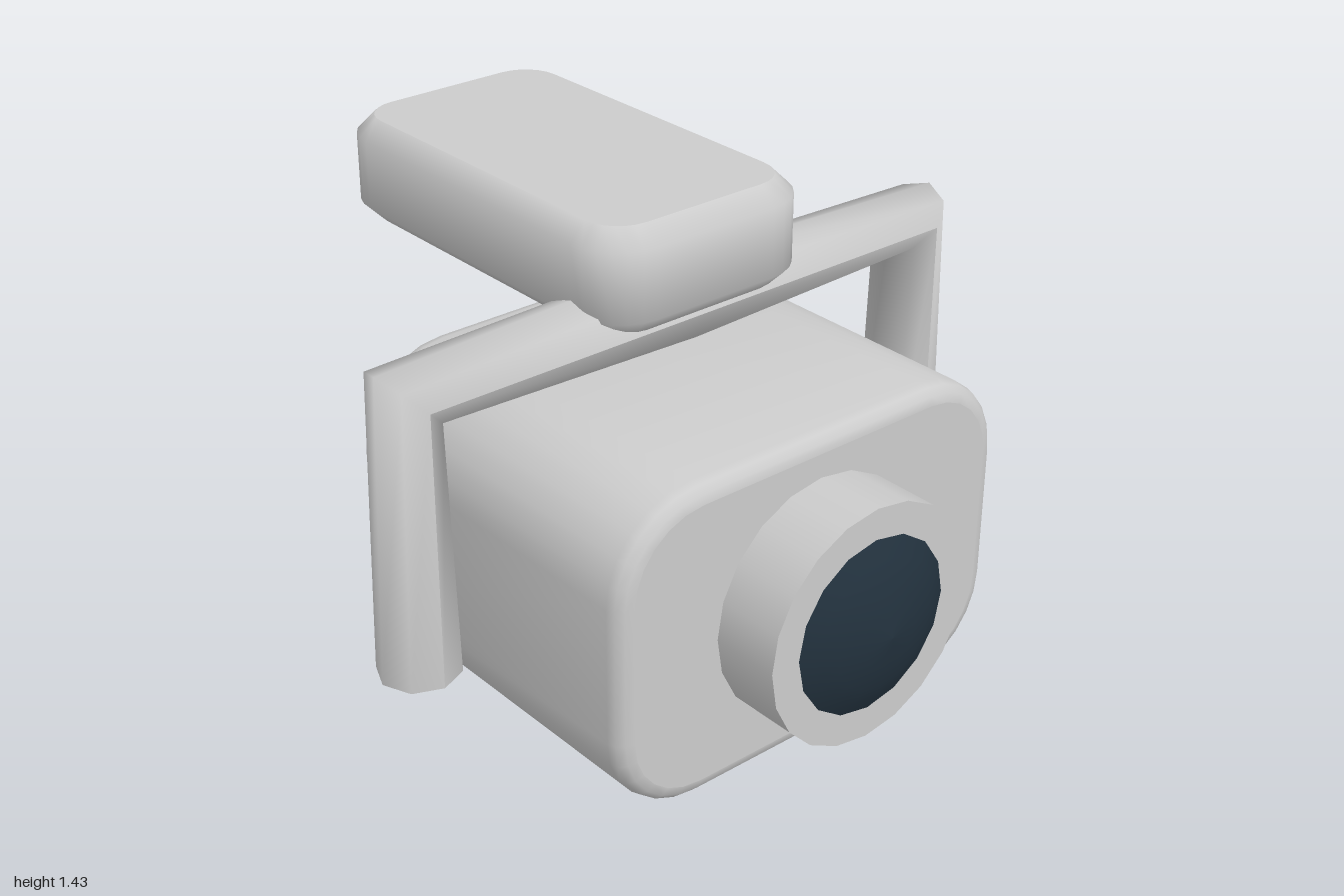
import * as THREE from 'three';
import { toCreasedNormals } from 'three/addons/utils/BufferGeometryUtils.js';

const grey = new THREE.MeshStandardMaterial({ color: 0xcccccc });
const dark = new THREE.MeshStandardMaterial({ color: 0x22313d });

// Rounded rectangle w x h centred on the origin, extruded along z with soft rims and flat caps
function roundedBlock(w, h, depth, radius, bevel, bevelSegments) {
  const x = w / 2 - radius, y = h / 2 - radius, q = Math.PI / 2;
  const shape = new THREE.Shape();
  [[x, y], [-x, y], [-x, -y], [x, -y]].forEach(([cx, cy], i) =>
    shape.absarc(cx, cy, radius, i * q, (i + 1) * q, false));
  const raw = new THREE.ExtrudeGeometry(shape, {
    depth: depth - 2 * bevel, curveSegments: 3,
    bevelSize: bevel, bevelThickness: bevel, bevelOffset: -bevel, bevelSegments,
  });
  const capCount = raw.groups[0].count;
  const flat = raw.attributes.normal.clone();
  const geo = toCreasedNormals(raw, 0.9);
  for (let i = 0; i < capCount; i++) {
    geo.attributes.normal.setXYZ(i, flat.getX(i), flat.getY(i), flat.getZ(i));
  }
  return geo.translate(0, 0, bevel - depth / 2);
}

// Eight-sided bar swept along a polyline in the xy plane, unmitred so it thins at the corners
function sweptBar(path, radius, z) {
  const sides = 8, ring = sides + 1, positions = [], index = [];
  const dir = (a, b) => b.clone().sub(a).normalize();
  path.forEach((p, i) => {
    const t = new THREE.Vector2();
    if (i > 0) t.add(dir(path[i - 1], p));
    if (i < path.length - 1) t.add(dir(p, path[i + 1]));
    t.normalize();
    for (let j = 0; j <= sides; j++) {
      const a = (j / sides) * Math.PI * 2, s = radius * Math.sin(a);
      positions.push(p.x - t.y * s, p.y + t.x * s, z + radius * Math.cos(a));
      if (i < path.length - 1 && j < sides) {
        const k = i * ring + j;
        index.push(k, k + ring, k + 1, k + 1, k + ring, k + ring + 1);
      }
    }
  });
  const geo = new THREE.BufferGeometry();
  geo.setAttribute('position', new THREE.Float32BufferAttribute(positions, 3));
  geo.setIndex(index);
  geo.computeVertexNormals();
  return geo;
}

export function createModel() {
  const model = new THREE.Group();
  const add = (name, geo, material = grey) => {
    const mesh = new THREE.Mesh(geo, material);
    mesh.name = name;
    model.add(mesh);
    return mesh;
  };

  // Main housing
  add('body', roundedBlock(1.35, 0.94, 1.14, 0.27, 0.05, 3)).position.set(0, 0.47, 0.12);

  // Lens barrel and domed glass on the front
  add('lensBarrel', new THREE.CylinderGeometry(0.35, 0.35, 0.295, 20).rotateX(Math.PI / 2))
    .position.set(0, 0.47, 0.7475);
  const dome = [[0.26, 0.894], [0.21, 0.922], [0.165, 0.94], [0.09, 0.962], [0, 0.972]]
    .map(([r, h]) => new THREE.Vector2(r, h));
  add('lensGlass', new THREE.LatheGeometry(dome, 16).rotateX(Math.PI / 2), dark)
    .position.set(0, 0.47, 0);

  // Bracket arching over the housing, with closed lower ends
  const x = 0.885, low = 0.315, high = 1.12, r = 0.116, z = 0.116;
  const path = [[-x, low], [-x, high], [0, high], [x, high], [x, low]]
    .map(([px, py]) => new THREE.Vector2(px, py));
  add('bracket', sweptBar(path, r, z));
  for (const side of [-1, 1]) {
    add(side > 0 ? 'leftBracketEnd' : 'rightBracketEnd',
      new THREE.CircleGeometry(r, 8).rotateX(Math.PI / 2)).position.set(side * x, low, z);
  }

  // Flat top block, overhanging to the rear
  add('topBlock', roundedBlock(0.72, 1.25, 0.305, 0.16, 0.052, 1).rotateX(-Math.PI / 2))
    .position.set(0, 1.28, -0.35);

  return model;
}
